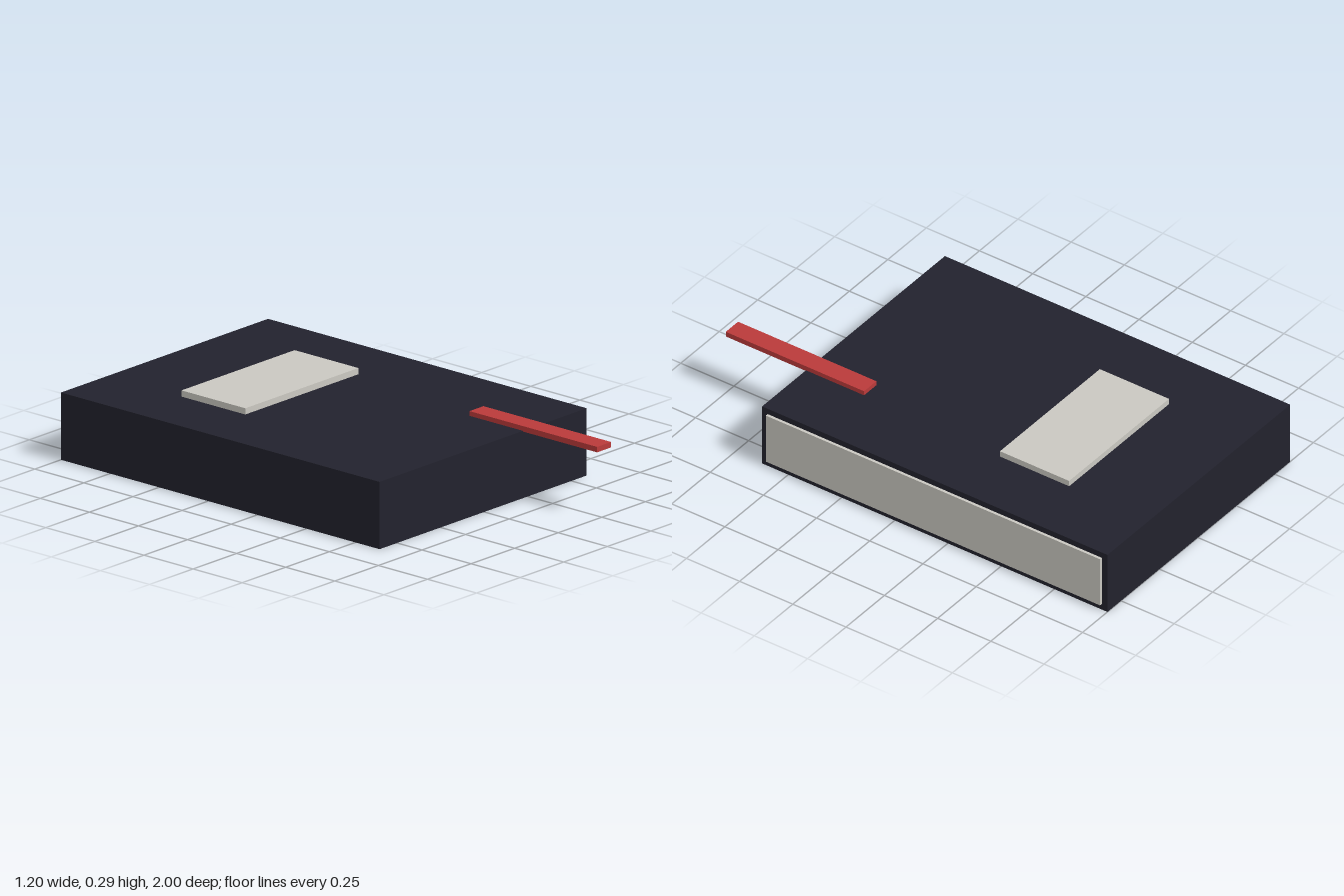
import * as THREE from 'three';

const material = (name, color) => {
  const m = new THREE.MeshStandardMaterial({ color });
  m.name = name;
  return m;
};

// Box given by its [min, max] range on each axis
function block(name, mat, [x0, x1], [y0, y1], [z0, z1]) {
  const mesh = new THREE.Mesh(new THREE.BoxGeometry(x1 - x0, y1 - y0, z1 - z0), mat);
  mesh.position.set((x0 + x1) / 2, (y0 + y1) / 2, (z0 + z1) / 2);
  mesh.name = name;
  return mesh;
}

export function createModel() {
  const cover = material('dark cover', 0x22222d);
  const paper = material('paper', 0xcac8c1);
  const ribbon = material('red ribbon', 0xba3a3a);

  const book = new THREE.Group();
  book.name = 'book';
  book.add(
    // Closed cover body
    block('cover', cover, [-0.6, 0.588], [0, 0.27], [-1, 0.623]),
    // Page edges standing slightly proud of the open side
    block('pages', paper, [-0.55, 0.6], [0.027, 0.245], [-0.974, 0.597]),
    // Raised title plate on the front cover
    block('label', paper, [-0.332, 0.317], [0.268, 0.295], [-0.624, -0.299]),
    // Bookmark hanging over the lower edge
    block('bookmark', ribbon, [0.223, 0.303], [0.267, 0.289], [0.35, 1]),
  );
  return book;
}
